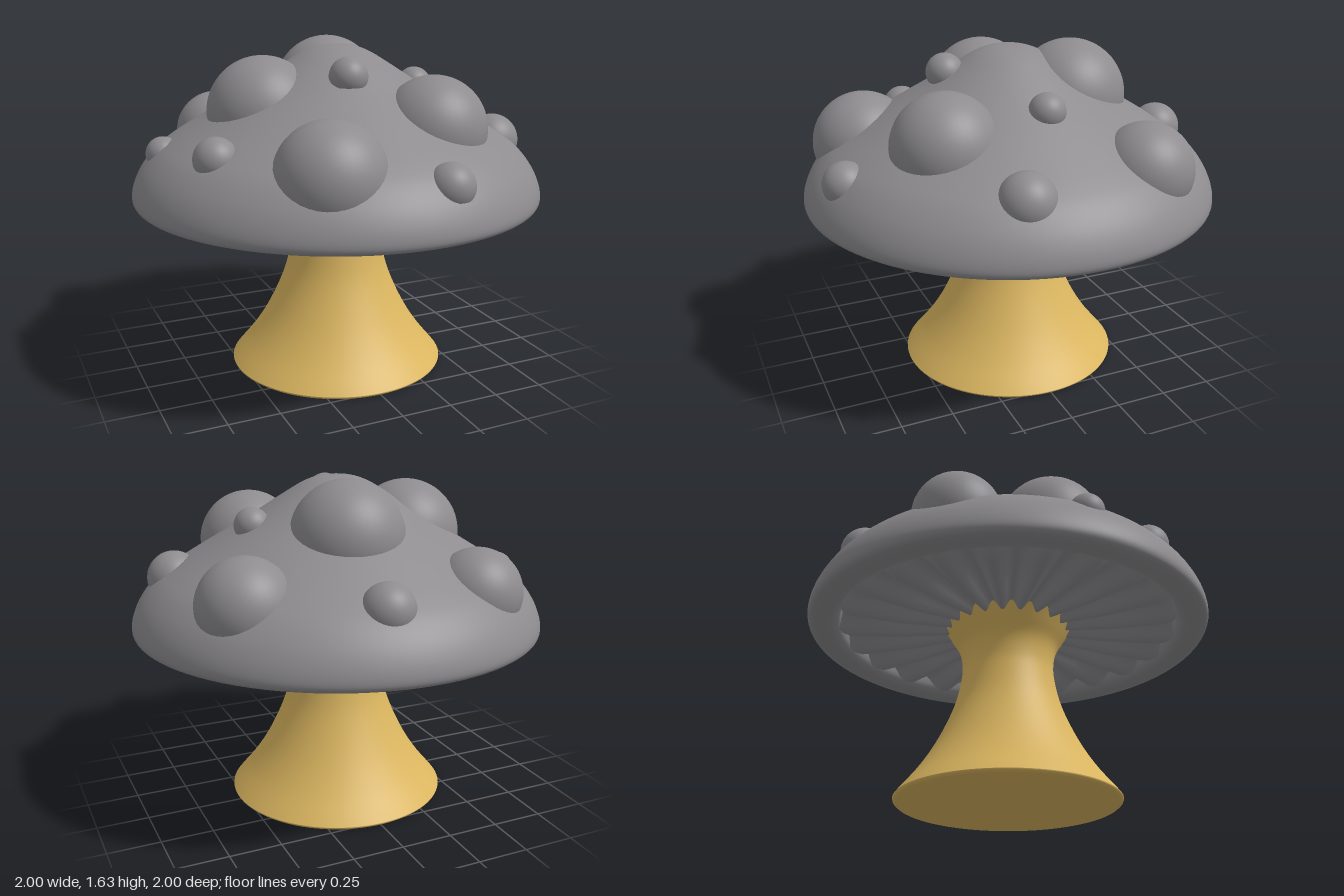
import * as THREE from 'three';

const capGrey = new THREE.MeshStandardMaterial({ color: 0x8e8c8f });
capGrey.name = 'capGrey';
const stemTan = new THREE.MeshStandardMaterial({ color: 0xdbb660 });
stemTan.name = 'stemTan';

// Smooth lathe through a few [radius, height] points
function lathe(profile, samples) {
  const curve = new THREE.SplineCurve(profile.map(([r, y]) => new THREE.Vector2(r, y)));
  const points = curve.getPoints(samples).map(p => p.setX(Math.max(p.x, 0)));
  return new THREE.LatheGeometry(points, 96);
}

function add(parent, name, geometry, material) {
  const mesh = new THREE.Mesh(geometry, material);
  mesh.name = name;
  parent.add(mesh);
  return mesh;
}

export function createModel() {
  const model = new THREE.Group();
  model.name = 'mushroom';

  // Flared stem with a flat foot
  add(model, 'stem', lathe([
    [0.525, 0], [0.537, 0.012], [0.525, 0.03], [0.44, 0.135], [0.365, 0.25], [0.3, 0.38], [0.255, 0.5],
    [0.23, 0.62], [0.226, 0.7], [0.242, 0.78], [0.285, 0.855], [0.33, 0.93],
  ], 60), stemTan);
  add(model, 'stemFoot', new THREE.CircleGeometry(0.526, 96).rotateX(Math.PI / 2), stemTan);

  // Domed cap with a rolled lip
  add(model, 'cap', lathe([
    [0.83, 0.95], [0.845, 0.895], [0.88, 0.864], [0.94, 0.86], [0.985, 0.87], [1, 0.905], [0.985, 0.97],
    [0.945, 1.045], [0.88, 1.12], [0.8, 1.18], [0.68, 1.255], [0.55, 1.335], [0.4, 1.425],
    [0.26, 1.515], [0.16, 1.575], [0.08, 1.603], [0, 1.61],
  ], 90), capGrey);

  // Wavy gills under the cap, curling up at the outer ends
  const gills = new THREE.RingGeometry(0.24, 0.87, 264, 16).rotateX(Math.PI / 2);
  const pos = gills.attributes.position;
  for (let i = 0; i < pos.count; i++) {
    const x = pos.getX(i), z = pos.getZ(i), r = Math.hypot(x, z);
    const amp = 0.015 + 0.022 * Math.min(1, (r - 0.24) / 0.3);
    const curl = 0.05 * Math.max(0, (r - 0.78) / 0.09) ** 2;
    pos.setY(i, 0.892 + amp * Math.cos(22 * Math.atan2(z, x)) + curl);
  }
  gills.computeVertexNormals();
  add(model, 'gills', gills, capGrey);

  // Round warts: x, y, z, radius
  const warts = new THREE.Group();
  warts.name = 'warts';
  model.add(warts);
  [
    [0.075, 1.36, -0.29, 0.267], [-0.375, 1.305, -0.01, 0.265],
    [-0.435, 1.12, -0.595, 0.208], [0.61, 1.125, -0.41, 0.22],
    [-0.31, 1.12, 0.64, 0.25], [0.3, 1.245, 0.43, 0.25],
    [0.11, 1.145, -0.77, 0.12], [0.43, 1.395, 0, 0.085],
    [0.75, 1.125, 0.24, 0.13], [0.15, 1.085, 0.85, 0.105],
    [-0.07, 1.49, 0.295, 0.09], [-0.71, 1.17, 0.32, 0.1],
    [-0.825, 1.11, -0.17, 0.082],
  ].forEach(([x, y, z, r], i) => {
    const dome = new THREE.SphereGeometry(r, 40, 24, 0, Math.PI * 2, 0, Math.PI * 0.66);
    add(warts, 'wart' + (i + 1), dome, capGrey).position.set(x, y, z);
  });

  return model;
}
